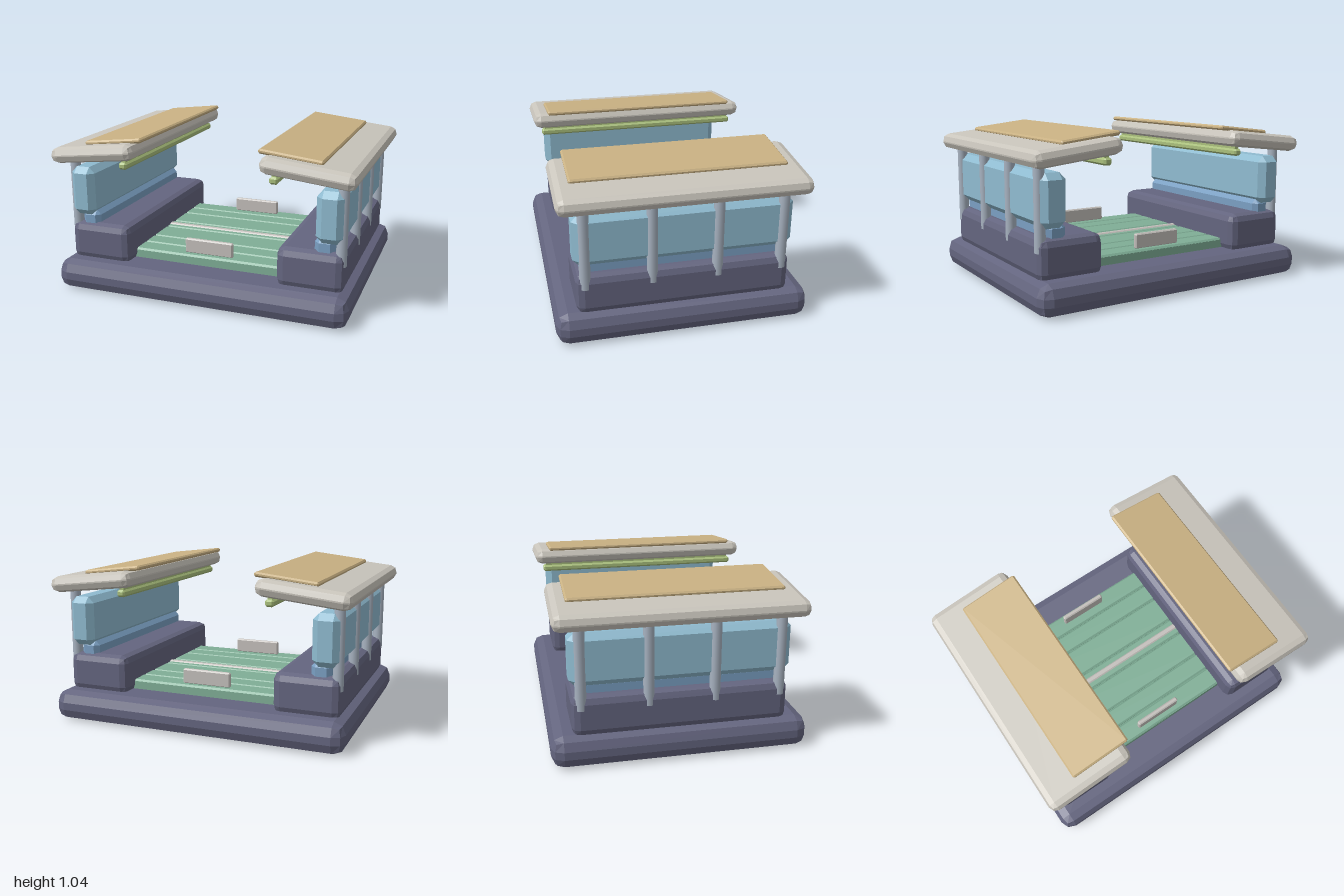
import * as THREE from 'three';
import { RoundedBoxGeometry } from 'three/addons/geometries/RoundedBoxGeometry.js';
import { ConvexGeometry } from 'three/addons/geometries/ConvexGeometry.js';

const paint = (name, color) => {
  const m = new THREE.MeshStandardMaterial({ color });
  m.name = name;
  return m;
};

// Box with one flat chamfer on every edge
function chamferBox(w, h, d, c) {
  const x = w / 2, y = h / 2, z = d / 2, pts = [];
  for (const sx of [-1, 1]) for (const sy of [-1, 1]) for (const sz of [-1, 1]) {
    pts.push(
      new THREE.Vector3(sx * x, sy * (y - c), sz * (z - c)),
      new THREE.Vector3(sx * (x - c), sy * y, sz * (z - c)),
      new THREE.Vector3(sx * (x - c), sy * (y - c), sz * z));
  }
  return new ConvexGeometry(pts);
}

// Box with two flat facets on every edge
function facetBox(w, h, d, r) {
  const g = new RoundedBoxGeometry(w, h, d, 1, r);
  g.computeVertexNormals();
  return g;
}

export function createModel() {
  const slate = paint('slate', 0x64657f);
  const stone = paint('stone', 0xc9c5bc);
  const tan = paint('tan', 0xc9b183);
  const green = paint('green', 0x7fae96);
  const glass = paint('glassBlue', 0x8fbbd0);
  const deepBlue = paint('deepBlue', 0x7a9fc2);
  const steel = paint('steel', 0xa8b3c1);
  const lime = paint('lime', 0xa9bf7c);
  const grey = paint('grey', 0xc3bfbb);

  const model = new THREE.Group();
  model.name = 'pavilion';
  const add = (parent, name, geometry, material, x, y, z, tilt = 0) => {
    const mesh = new THREE.Mesh(geometry, material);
    mesh.name = name;
    mesh.position.set(x, y, z);
    mesh.rotation.z = tilt;
    parent.add(mesh);
    return mesh;
  };
  const zc = -0.005;

  // Base slab
  add(model, 'base', facetBox(1.966, 0.2, 1.59, 0.075), slate, 0, 0.1, zc);

  // Deck: a bed, planks with narrow grooves, and a centre rail
  add(model, 'deckBed', new THREE.BoxGeometry(1.04, 0.07, 1.09), green, 0, 0.215, zc);
  const seams = [-0.545, -0.405, -0.27, -0.065, 0.065, 0.27, 0.405, 0.545];
  for (let i = 0; i < seams.length - 1; i++) {
    const width = seams[i + 1] - seams[i];
    add(model, 'plank', chamferBox(1.04, 0.08, width - 0.002, 0.012), green,
      0, 0.224, zc + (seams[i] + seams[i + 1]) / 2);
  }
  add(model, 'centreRail', chamferBox(1.04, 0.05, 0.042, 0.008), grey, 0, 0.247, zc);

  // Upright plates on the deck
  for (const s of [-1, 1]) {
    add(model, 'deckHandle', chamferBox(0.333, 0.1, 0.032, 0.008), grey, 0, 0.31, zc + s * 0.487);
  }

  // Two mirrored side galleries
  for (const s of [-1, 1]) {
    const side = new THREE.Group();
    side.name = s > 0 ? 'leftGallery' : 'rightGallery';
    model.add(side);
    add(side, 'bench', facetBox(0.425, 0.26, 1.33, 0.05), slate, s * 0.716, 0.31, zc);
    add(side, 'windowSill', chamferBox(0.13, 0.12, 1.26, 0.03), deepBlue, s * 0.798, 0.46, zc);
    add(side, 'window', chamferBox(0.17, 0.325, 1.35, 0.04), glass, s * 0.83, 0.658, zc);

    // Posts
    for (const z of [-0.608, -0.203, 0.203, 0.608]) {
      add(side, 'post', new THREE.CylinderGeometry(0.034, 0.034, 0.535, 12), steel,
        s * 0.9, 0.622, zc + z);
    }

    // Tilted roof, its top panel and the strip below
    add(side, 'roof', facetBox(0.59, 0.105, 1.53, 0.048), stone, s * 0.706, 0.934, zc, -s * 0.11);
    add(side, 'roofPanel', chamferBox(0.4, 0.03, 1.335, 0.01), tan, s * 0.585, 1.008, zc, -s * 0.115);
    add(side, 'lightStrip', chamferBox(0.055, 0.045, 1.42, 0.012), lime, s * 0.498, 0.868, zc);
    add(side, 'stripMount', new THREE.BoxGeometry(0.03, 0.04, 1.38), lime, s * 0.498, 0.9, zc);
  }
  return model;
}
